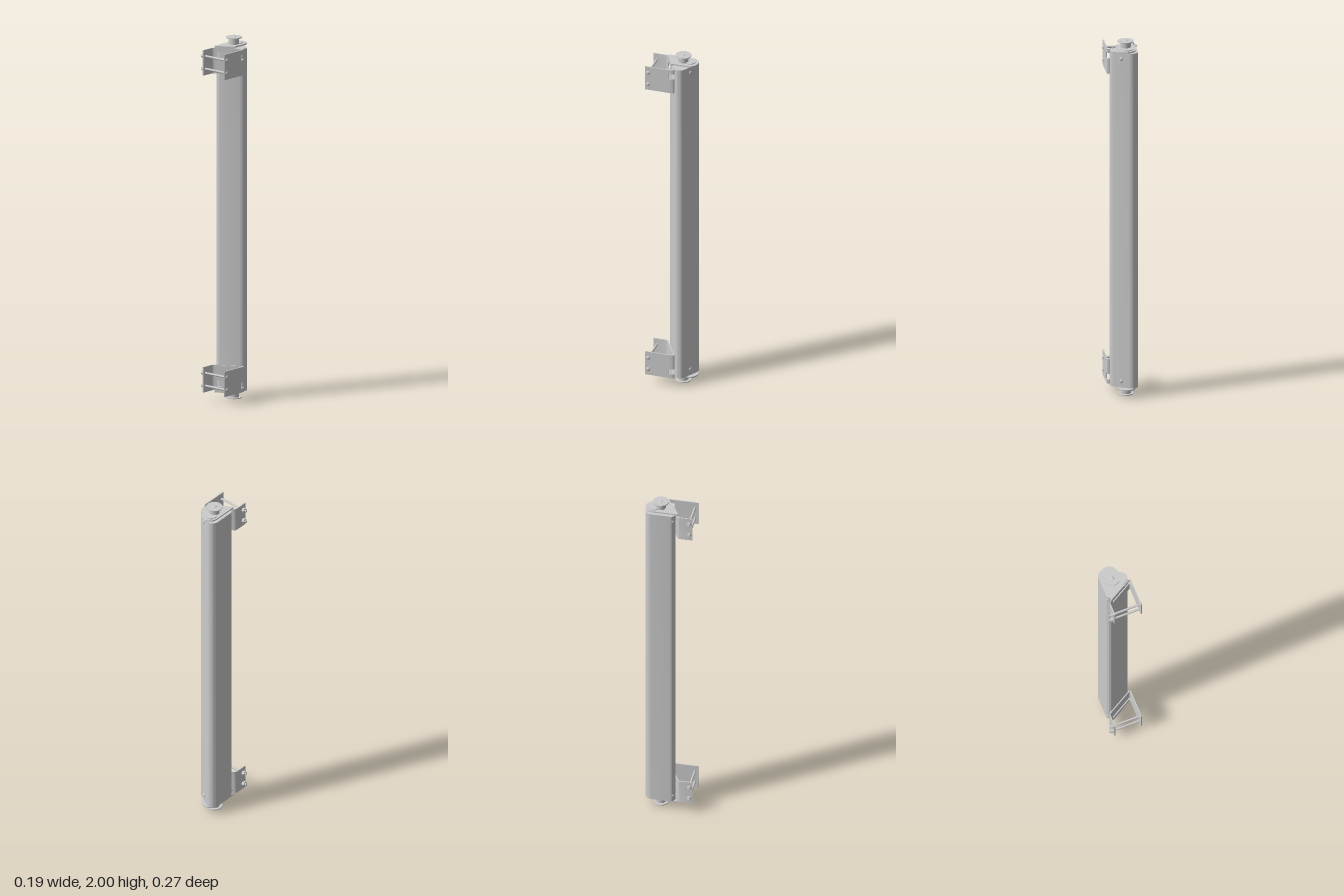
import * as THREE from 'three';
import { toCreasedNormals } from 'three/addons/utils/BufferGeometryUtils.js';

const mat = new THREE.MeshStandardMaterial({ color: 0xcccccc });
const V = (x, z) => new THREE.Vector2(x, z);

function add(parent, name, geometry, x = 0, y = 0, z = 0) {
  const mesh = new THREE.Mesh(geometry, mat);
  mesh.name = name;
  mesh.position.set(x, y, z);
  parent.add(mesh);
  return mesh;
}

// Upright prism between two heights, from a plan outline in (x, z)
function prism(outline, ya, yb) {
  const shape = new THREE.Shape(outline.map(p => V(p.x, -p.y)));
  const g = new THREE.ExtrudeGeometry(shape, { depth: Math.abs(yb - ya), bevelEnabled: false });
  g.rotateX(-Math.PI / 2).translate(0, Math.min(ya, yb), 0);
  return toCreasedNormals(g, 0.6);
}

// Points of an arc in plan, angles in degrees from +x towards +z
function arc(cx, cz, r, a0, a1, n = 14) {
  return Array.from({ length: n + 1 }, (_, i) => {
    const a = THREE.MathUtils.degToRad(a0 + (a1 - a0) * i / n);
    return V(cx + r * Math.cos(a), cz + r * Math.sin(a));
  });
}

// Outline of a bent sheet of thickness t along a plan path
function sheet(path, t = 0.006) {
  const left = [], right = [];
  path.forEach((p, i) => {
    const a = path[Math.max(i - 1, 0)], b = path[Math.min(i + 1, path.length - 1)];
    const d = b.clone().sub(a).normalize().multiplyScalar(t / 2);
    left.push(V(p.x - d.y, p.y + d.x));
    right.unshift(V(p.x + d.y, p.y - d.x));
  });
  return [...left, ...right];
}

function disc(r, h, sides = 40) {
  return new THREE.CylinderGeometry(r, r, h, sides);
}

// Centre line of the slanted bracket plate
const slant = x => V(x, 0.051 - 0.563 * (x + 0.06));

function buildEnd(name, top) {
  const end = new THREE.Group();
  end.name = name;
  const Y = y => (top ? y : 2 - y);

  // Clamp bracket: left flange, slotted slanted plate and right flange
  const bracket = new THREE.Group();
  bracket.name = 'bracket';
  end.add(bracket);
  const leftPath = [V(-0.069, 0.133), V(-0.069, 0.063), V(-0.067, 0.057), slant(-0.06), slant(-0.045)];
  add(bracket, 'leftFlange', prism(sheet(leftPath), Y(1.805), Y(1.945)));
  add(bracket, 'rightFlange', prism(sheet([V(0.084, 0.133), V(0.084, 0.002)]), Y(1.805), Y(1.945)));
  const platePath = [V(0.084, 0.002), V(0.084, -0.019), V(0.0815, -0.0255), V(0.077, -0.0265), slant(0.07), slant(-0.045)];
  for (const [a, b] of [[1.805, 1.89], [1.922, 1.945]])
    add(bracket, 'slantedPlate', prism(sheet(platePath), Y(a), Y(b)));
  add(bracket, 'plateTab', prism(sheet([slant(0.036), slant(-0.057)]), Y(1.945), Y(1.957)));

  // End plate with rounded back
  const platePlan = [V(-0.059, 0.05), ...arc(-0.012, -0.088, 0.047, 180, 360, 28), V(0.035, -0.003)];
  add(end, 'endPlate', prism(platePlan, Y(1.95), Y(1.957)));
  add(end, 'washer', disc(0.032, 0.004), -0.017, Y(1.959), -0.088);

  // Flanged spool and its domed screw
  add(end, 'spoolHub', disc(0.028, 0.038), -0.011, Y(1.975), -0.052);
  add(end, 'spoolFlange', disc(0.043, 0.005), -0.011, Y(1.9935), -0.052);
  const dome = new THREE.SphereGeometry(0.011, 20, 10).scale(1, 0.4, 1);
  add(end, 'spoolScrew', dome, -0.011, Y(1.9956), -0.052);

  // Two through bolts with nut and rounded head
  for (const y of [1.84, 1.91]) {
    const bolt = new THREE.Group();
    bolt.name = 'throughBolt';
    bolt.position.set(0, Y(y), 0.115);
    end.add(bolt);
    const across = (n, g, x) => add(bolt, n, g.rotateZ(Math.PI / 2), x);
    across('rod', disc(0.006, 0.18, 20), -0.005);
    across('nut', toCreasedNormals(disc(0.0135, 0.014, 6), 0.3), -0.079);
    across('nutWasher', disc(0.013, 0.003, 24), -0.0715);
    const head = new THREE.SphereGeometry(0.011, 20, 10).scale(0.6, 1, 1);
    add(bolt, 'head', head, 0.087);
  }

  // Small screws fixing the body to the end fitting
  const backScrew = new THREE.SphereGeometry(0.011, 18, 10).scale(1, 1, 0.45);
  add(end, 'bodyScrew', backScrew, 0.02, Y(1.91), -0.102).rotation.y = -Math.PI / 6;
  const sideScrew = new THREE.SphereGeometry(0.008, 18, 10);
  add(end, 'cornerScrew', sideScrew, -0.064, Y(1.91), 0.023);
  return end;
}

export function createModel() {
  const model = new THREE.Group();
  model.name = 'guardPost';

  // Long housing: rounded triangular section
  const section = [
    ...arc(-0.037, -0.095, 0.035, 180, 300),
    ...arc(0.042, -0.05, 0.033, 300, 420),
    ...arc(-0.047, 0.01, 0.025, 60, 180),
  ];
  add(model, 'housing', prism(section, 0.055, 1.945));

  model.add(buildEnd('topEnd', true), buildEnd('bottomEnd', false));
  return model;
}
